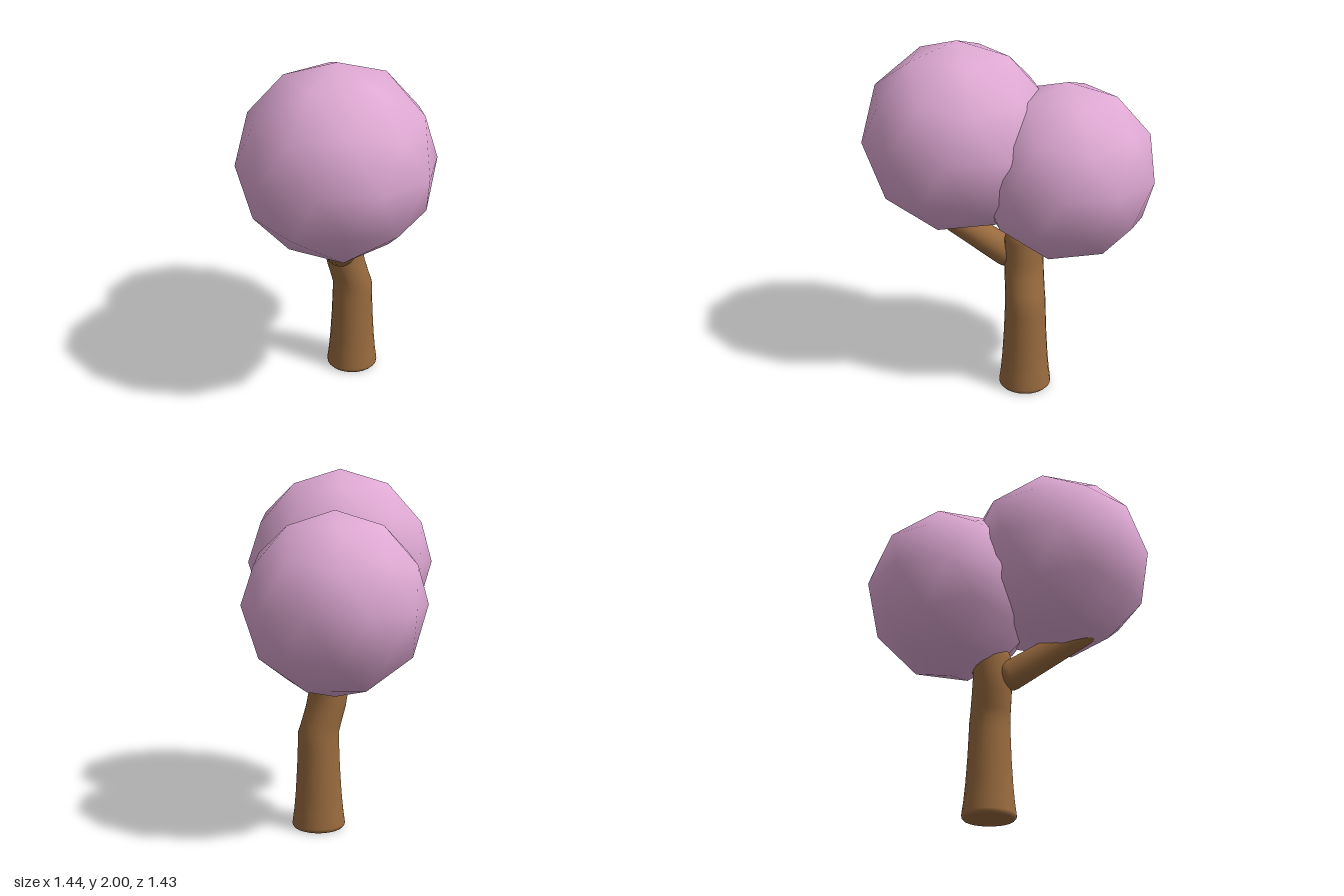
import * as THREE from 'three';
import { mergeVertices } from 'three/addons/utils/BufferGeometryUtils.js';

const bark = new THREE.MeshStandardMaterial({ color: 0x986a3e });
bark.name = 'brown bark';
const blossom = new THREE.MeshStandardMaterial({ color: 0xdfa9d4 });
blossom.name = 'pink blossom';

const lathe = (profile) =>
  new THREE.LatheGeometry(profile.map(([r, y]) => new THREE.Vector2(r, y)), 24);

function part(name, geometry, material) {
  const mesh = new THREE.Mesh(geometry, material);
  mesh.name = name;
  return mesh;
}

// Trunk: flared lathe whose upper half leans forward above the bend
function trunk() {
  let g = lathe([
    [0, 0], [0.13, 0], [0.14, 0.002], [0.149, 0.012], [0.15, 0.025], [0.14, 0.1],
    [0.131, 0.2], [0.122, 0.35], [0.117, 0.48], [0.115, 0.55], [0.113, 0.6], [0.112, 0.7],
    [0.111, 0.78], [0.11, 0.9], [0.1, 0.94], [0.075, 0.965], [0.04, 0.975], [0, 0.978],
  ]);
  const p = g.attributes.position;
  for (let i = 0; i < p.count; i++) {
    const lean = THREE.MathUtils.clamp((p.getY(i) - 0.55) / 0.2, 0, 1);
    p.setXYZ(i, p.getX(i) - 0.025 - 0.022 * lean, p.getY(i), p.getZ(i) - 0.162 + 0.054 * lean);
  }
  g.deleteAttribute('normal');
  g.deleteAttribute('uv');
  g = mergeVertices(g);
  g.computeVertexNormals();
  return part('trunk', g, bark);
}

// Branch: round-ended tapered limb between two points
function branch(name, from, to, r0, r1) {
  const a = new THREE.Vector3(...from);
  const dir = new THREE.Vector3(...to).sub(a);
  const length = dir.length();
  const profile = [];
  for (let i = 0; i <= 5; i++) {
    const t = (i / 5) * Math.PI / 2;
    profile.push([r0 * Math.sin(t), -r0 * Math.cos(t)]);
  }
  for (let i = 0; i <= 5; i++) {
    const t = (i / 5) * Math.PI / 2;
    profile.push([r1 * Math.cos(t), length + r1 * Math.sin(t)]);
  }
  const mesh = part(name, lathe(profile), bark);
  mesh.position.copy(a);
  mesh.quaternion.setFromUnitVectors(new THREE.Vector3(0, 1, 0), dir.normalize());
  return mesh;
}

// Crown: coarse smooth icosphere standing on one of its points
function crown(name, x, y, z, radius) {
  const g = new THREE.IcosahedronGeometry(radius, 1);
  g.rotateZ(-Math.atan(2 / (1 + Math.sqrt(5))));
  const mesh = part(name, g, blossom);
  mesh.position.set(x, y, z);
  return mesh;
}

export function createModel() {
  const tree = new THREE.Group();
  tree.name = 'blossomTree';
  tree.add(
    trunk(),
    branch('frontBranch', [0.02, 0.805, -0.025], [0.33, 1.05, 0.28], 0.086, 0.07),
    branch('backBranch', [-0.06, 0.87, -0.13], [-0.17, 0.96, -0.3], 0.065, 0.05),
    crown('frontCrown', 0.206, 1.468, 0.177, 0.535),
    crown('backCrown', -0.25, 1.303, -0.22, 0.5),
  );
  return tree;
}
